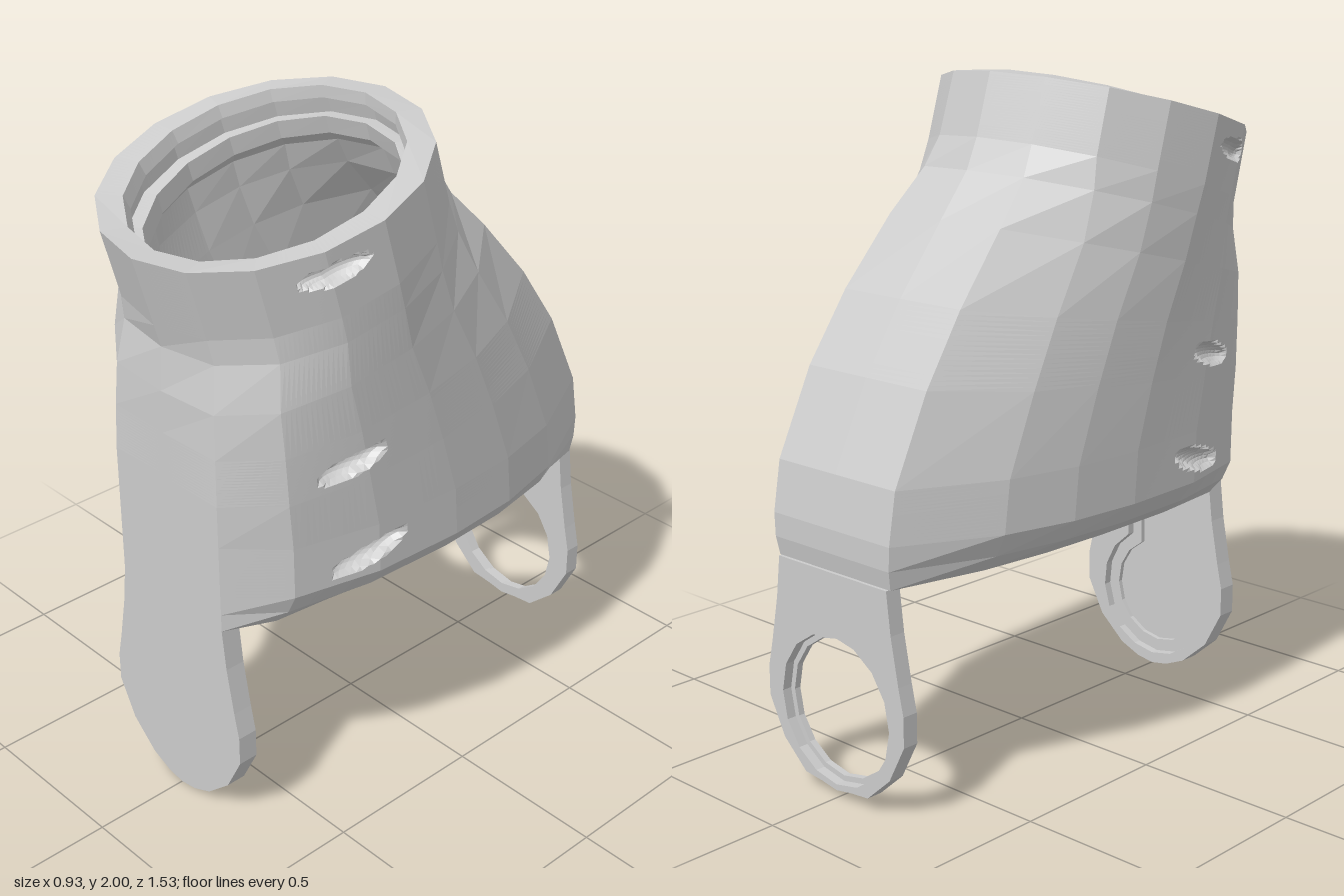
import * as THREE from 'three';

const grey = () => new THREE.MeshStandardMaterial({ color: 0xcccccc, flatShading: true, side: THREE.DoubleSide });
const lerp = THREE.MathUtils.lerp;

// Sloping cross-sections: front y, front z, back y, back z, roundness, side tuck-in
const LEVELS = [
  [0.675, 0.70, 0.675, -0.755, 0, 0.45],
  [0.73, 0.70, 0.73, -0.765, 0, 0.8],
  [0.79, 0.70, 0.80, -0.765, 0, 1],
  [0.95, 0.70, 0.95, -0.74, 0, 1],
  [1.08, 0.70, 1.20, -0.62, 0, 1],
  [1.22, 0.70, 1.40, -0.49, 0.1, 1],
  [1.35, 0.70, 1.60, -0.33, 0.3, 1],
  [1.48, 0.69, 1.73, -0.225, 0.7, 1],
  [1.55, 0.71, 1.82, -0.185, 0.95, 1],
  [1.76, 0.77, 2.00, -0.13, 1, 1],
];

// Half plan of the lower body, front to back: x, fraction of depth
const PLAN = [[0, 1], [0.22, 1], [0.365, 0.9], [0.43, 0.72], [0.445, 0.52],
  [0.43, 0.356], [0.38, 0.2], [0.235, 0], [0, 0]];

// Oval side pockets: z, y, half length, half height
const POCKETS = [[0.45, 1.765, 0.095, 0.03], [0.38, 1.17, 0.105, 0.032], [0.32, 0.86, 0.125, 0.032]];

const levelAt = (t) => {
  const i = Math.min(Math.floor(t), LEVELS.length - 2);
  return LEVELS[i].map((a, j) => lerp(a, LEVELS[i + 1][j], t - i));
};

function corner(i, level, inset) {
  const [yF, zF, yB, zB, round, tuck] = level;
  const a = (i * Math.PI) / 8;
  let x = lerp(PLAN[i][0], 0.465 * Math.sin(a), round);
  const v = lerp(PLAN[i][1], (1 + Math.cos(a)) / 2, round);
  if (x > 0.22) x = 0.22 + (x - 0.22) * tuck;
  return new THREE.Vector3(x * (1 - inset / 0.45), lerp(yB, yF, v), lerp(zB + inset, zF - inset, v));
}

function wallPoint(k, t, inset) {
  const h = k > 8 ? 16 - k : k;
  const i = Math.min(Math.floor(h), 7);
  const level = levelAt(t);
  const p = corner(i, level, inset).lerp(corner(i + 1, level, inset), h - i);
  // Sink the pockets into the outer wall
  if (inset === 0 && p.x > 0.3) {
    const c = Math.cos(0.26), s = Math.sin(0.26);
    for (const [z, y, len, ht] of POCKETS) {
      const dz = p.z - z, dy = p.y - y;
      const r = ((dy * s - dz * c) / len) ** 2 + ((dz * s + dy * c) / ht) ** 2;
      if (r < 1) p.x -= 0.045 * Math.sqrt(1 - r);
    }
  }
  if (k > 8) p.x *= -1;
  return p;
}

// Numbers from 0 to n, with chosen steps split finely
function steps(n, split) {
  const out = [];
  for (let i = 0; i < n; i++) {
    const m = split[i] || 1;
    for (let j = 0; j < m; j++) out.push(i + j / m);
  }
  return out;
}

function shellGeometry() {
  const cols = steps(16, { 2: 14, 3: 14, 12: 14, 13: 14 });
  const rows = [...steps(9, { 2: 16, 4: 16, 8: 26 }), 9].map((t) => [t, 0]);
  // Stepped seat inside the neck, then the inner wall down to the hem
  rows.push([9, 0.075], [8.8, 0.085], [8.8, 0.06], [8.5, 0.06], [8.5, 0.1], [8.2, 0.1], [8, 0.06]);
  for (let t = 7; t >= 0; t--) rows.push([t, 0.055]);
  const pos = [], idx = [], n = cols.length;
  rows.forEach(([t, inset]) => cols.forEach((k) => pos.push(...wallPoint(k, t, inset).toArray())));
  for (let r = 0; r < rows.length; r++) {
    for (let c = 0; c < n; c++) {
      const r2 = (r + 1) % rows.length, c2 = (c + 1) % n;
      const a = r * n + c, b = r * n + c2, d = r2 * n + c, e = r2 * n + c2;
      idx.push(a, b, e, a, e, d);
    }
  }
  const g = new THREE.BufferGeometry();
  g.setAttribute('position', new THREE.Float32BufferAttribute(pos, 3));
  g.setIndex(idx);
  g.computeVertexNormals();
  return g;
}

// Paddle outline shared by both tabs
function tabShape(bottom) {
  const half = [[0.22, 0.675], [0.235, 0.55], [0.262, 0.41], [0.28, 0.33], [0.28, 0.24],
    [0.22, 0.125], [0.13, 0.045], [0.06, 0.015]].map(([x, y]) => [x, Math.max(y, bottom + (y < 0.02 ? 0.01 : 0))]);
  const pts = [...half.map(([x, y]) => [-x, y]), [0, bottom], ...half.reverse()];
  return new THREE.Shape(pts.map(([x, y]) => new THREE.Vector2(x, y)));
}

function roundHole(r, y, sides = 16) {
  const pts = [];
  for (let i = 0; i < sides; i++) {
    const a = (i / sides) * Math.PI * 2;
    pts.push(new THREE.Vector2(r * Math.cos(a), y + r * Math.sin(a)));
  }
  return new THREE.Path(pts);
}

// Round pocket with a straight channel rising from it
function keyhole(r, y, w, top) {
  const pts = [new THREE.Vector2(w, top), new THREE.Vector2(-w, top)];
  const a0 = Math.PI / 2 + Math.asin(w / r), a1 = Math.PI * 2.5 - Math.asin(w / r);
  for (let i = 0; i <= 14; i++) {
    const a = lerp(a0, a1, i / 14);
    pts.push(new THREE.Vector2(r * Math.cos(a), y + r * Math.sin(a)));
  }
  return new THREE.Path(pts);
}

export function createModel() {
  const model = new THREE.Group();
  const add = (parent, name, geometry) => {
    const mesh = new THREE.Mesh(geometry, grey());
    mesh.name = name;
    parent.add(mesh);
    return mesh;
  };
  const slab = (parent, name, bottom, hole, z, depth) => {
    const shape = tabShape(bottom);
    if (hole) shape.holes.push(hole);
    add(parent, name, new THREE.ExtrudeGeometry(shape, { depth, bevelEnabled: false })).position.z = z;
  };

  add(model, 'shell', shellGeometry());

  // Front tab: closed face with a stepped keyhole recess behind it
  const front = new THREE.Group();
  front.name = 'frontTab';
  slab(front, 'frontTabFace', 0.005, null, 0.68, 0.02);
  slab(front, 'frontTabStep', 0.005, keyhole(0.17, 0.25, 0.075, 0.6), 0.665, 0.015);
  slab(front, 'frontTabRim', 0.005, keyhole(0.21, 0.25, 0.11, 0.64), 0.638, 0.027);
  // Small catch beside the channel
  [[0.645, 0.02], [0.57, 0.025]].forEach(([y, h]) => {
    add(front, 'catchBar', new THREE.BoxGeometry(0.055, h, 0.03)).position.set(0.135, y, 0.627);
  });
  add(front, 'catchPlate', new THREE.BoxGeometry(0.055, 0.1, 0.012)).position.set(0.135, 0.607, 0.634);
  model.add(front);

  // Back tab: open ring with a narrower inner lip
  const back = new THREE.Group();
  back.name = 'backTab';
  slab(back, 'backTabOuter', 0.028, roundHole(0.222, 0.268), -0.765, 0.03);
  slab(back, 'backTabLip', 0.028, roundHole(0.205, 0.268), -0.735, 0.02);
  model.add(back);

  return model;
}
